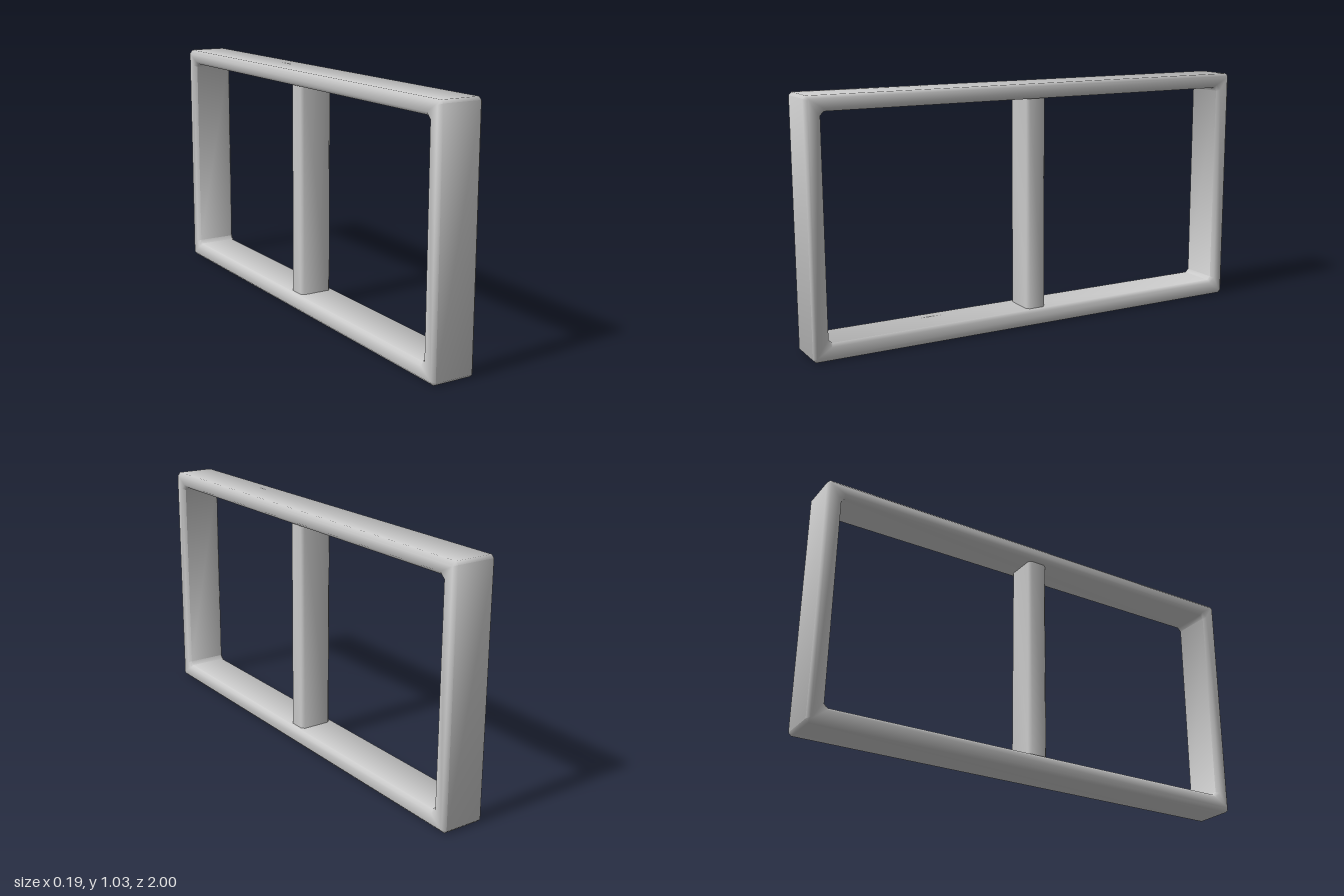
import * as THREE from 'three';
import { toCreasedNormals } from 'three/addons/utils/BufferGeometryUtils.js';

// Rectangle outline with cut corners
function cutRect(PathType, x0, x1, y0, y1, c) {
  const points = [
    [x0 + c, y0], [x1 - c, y0], [x1, y0 + c], [x1, y1 - c],
    [x1 - c, y1], [x0 + c, y1], [x0, y1 - c], [x0, y0 + c],
  ].map(([x, y]) => new THREE.Vector2(x, y));
  return new PathType(points);
}

export function createModel() {
  const group = new THREE.Group();
  group.name = 'windowFrame';
  const material = new THREE.MeshStandardMaterial({ color: 0xcccccc });
  const add = (name, geometry) => {
    const mesh = new THREE.Mesh(toCreasedNormals(geometry, Math.PI / 3), material);
    mesh.name = name;
    group.add(mesh);
  };

  // Outer frame: bevelled surround with one large opening
  const depth = 0.19, bevel = 0.013;
  const outline = cutRect(THREE.Shape, -1, 1, 0, 1.03, 0.012);
  outline.holes.push(cutRect(THREE.Path, -0.935, 0.935, 0.07, 0.968, 0.015));
  const frame = new THREE.ExtrudeGeometry(outline, {
    depth: depth - 2 * bevel,
    bevelThickness: bevel,
    bevelSize: bevel,
    bevelOffset: -bevel,
    bevelSegments: 1,
  });
  frame.translate(0, 0, bevel - depth / 2);
  frame.rotateY(Math.PI / 2);
  add('frame', frame);

  // Central upright, slightly shallower than the frame
  const upright = new THREE.ExtrudeGeometry(
    cutRect(THREE.Shape, -0.072, 0.072, -0.044, 0.044, 0.012),
    { depth: 0.93, bevelEnabled: false },
  );
  upright.rotateX(-Math.PI / 2);
  upright.translate(0, 0.05, 0);
  add('centralUpright', upright);

  return group;
}
